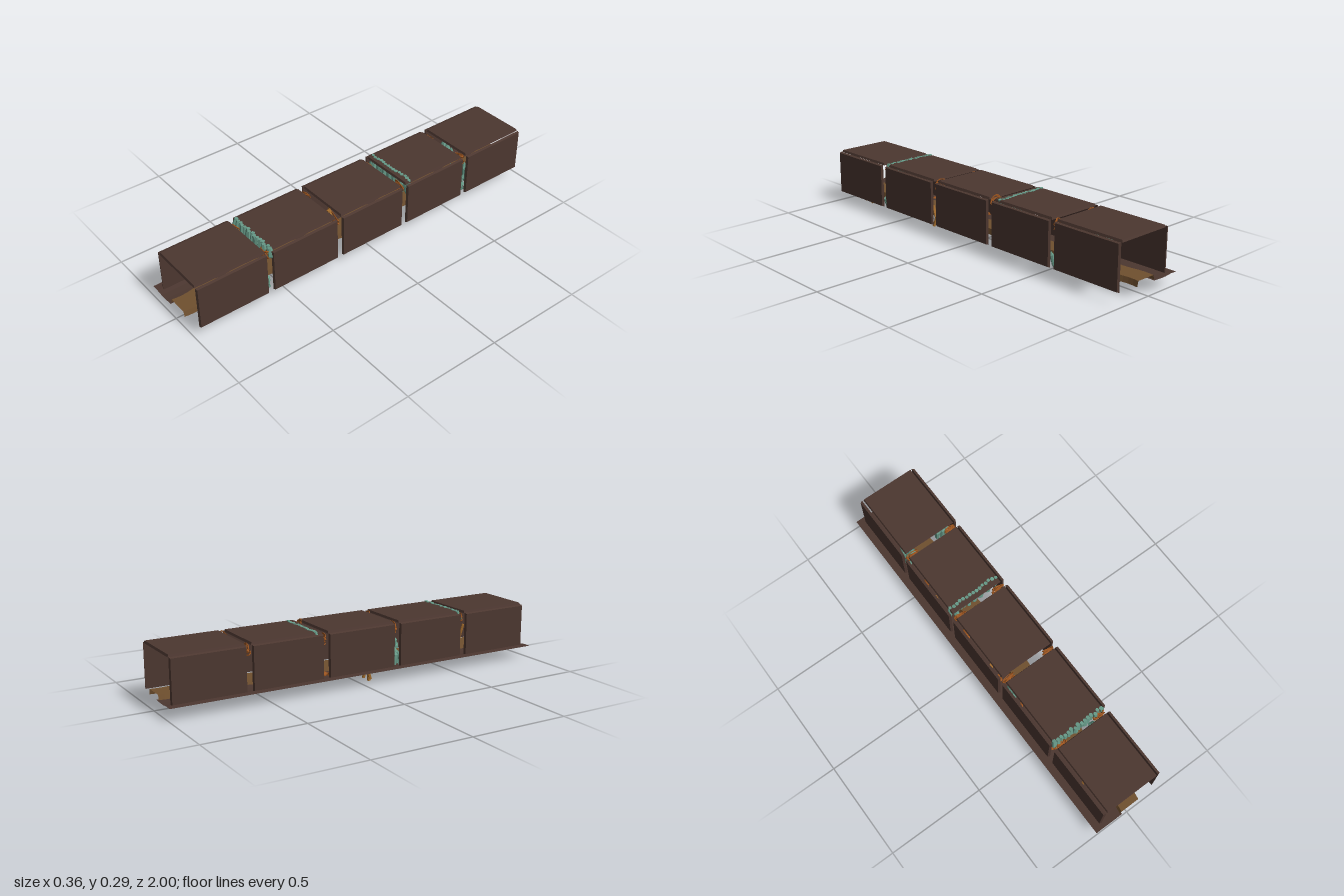
import * as THREE from 'three';

const mat = (name, color, side = THREE.FrontSide) => {
  const m = new THREE.MeshStandardMaterial({ color, side, flatShading: true });
  m.name = name;
  return m;
};

function seeded(seed) {
  return () => {
    seed = (seed * 16807) % 2147483647;
    return seed / 2147483647;
  };
}

// Slab with its +y face slightly inset, giving a bevelled rim
function slab(w, h, d) {
  const g = new THREE.BoxGeometry(w, h, d);
  const p = g.attributes.position;
  for (let i = 0; i < p.count; i++) {
    if (p.getY(i) > 0) p.setXYZ(i, p.getX(i) - Math.sign(p.getX(i)) * 0.004, p.getY(i), p.getZ(i) - Math.sign(p.getZ(i)) * 0.004);
  }
  g.computeVertexNormals();
  return g;
}

// Long sheet swept along z; profile(z) returns [x, y] points ordered from -x to +x
function sheet(profile, length, steps) {
  const pos = [], idx = [];
  let n = 0;
  for (let i = 0; i <= steps; i++) {
    const z = (i / steps - 0.5) * length;
    const row = profile(z);
    n = row.length;
    row.forEach(([x, y]) => pos.push(x, y, z));
  }
  for (let i = 0; i < steps; i++) {
    for (let j = 0; j < n - 1; j++) {
      const a = i * n + j, b = a + n;
      idx.push(a, b, a + 1, a + 1, b, b + 1);
    }
  }
  const g = new THREE.BufferGeometry();
  g.setAttribute('position', new THREE.Float32BufferAttribute(pos, 3));
  g.setIndex(idx);
  const out = g.toNonIndexed();
  out.computeVertexNormals();
  return out;
}

export function createModel() {
  const root = new THREE.Group();
  const rand = seeded(4217);
  const spread = (a) => (rand() * 2 - 1) * a;

  const rock = mat('dark rock', 0x4c3730);
  const ground = mat('ground', 0x4c3730, THREE.DoubleSide);
  const trail = mat('trail earth', 0x70502f, THREE.DoubleSide);
  const crystal = mat('teal crystal', 0x679a88);
  const rope = mat('orange root', 0x9c5520);
  const wood = mat('light wood', 0xa8702f);

  const add = (parent, name, geometry, material, x = 0, y = 0, z = 0) => {
    const m = new THREE.Mesh(geometry, material);
    m.name = name;
    m.position.set(x, y, z);
    parent.add(m);
    return m;
  };
  const group = (name, x = 0, y = 0, z = 0) => {
    const g = new THREE.Group();
    g.name = name;
    g.position.set(x, y, z);
    root.add(g);
    return g;
  };

  // Five tunnel sections, each with two walls and a roof
  const roofGeo = slab(0.287, 0.011, 0.367);
  const wallGeo = slab(0.222, 0.012, 0.367);
  for (let i = 0; i < 5; i++) {
    const section = group('tunnelSection', 0, 0, (i - 2) * 0.396);
    add(section, 'roof', roofGeo, rock, 0.013, 0.278, 0);
    add(section, 'leftWall', wallGeo, rock, 0.169, 0.164, 0).rotation.z = -Math.PI / 2;
    add(section, 'rightWall', wallGeo, rock, -0.144, 0.164, 0).rotation.z = Math.PI / 2;
  }

  // Ground strip along the right wall
  add(root, 'groundStrip', sheet(() => [[-0.188, 0.061], [-0.15, 0.062], [-0.115, 0.058], [-0.08, 0.058], [-0.036, 0.061]], 2, 1), ground);

  // Winding raised trail with sloping sides
  add(root, 'trail', sheet((z) => {
    const s = Math.sin(z * Math.PI * 9) * 0.006;
    return [[-0.046 + s, 0.056], [-0.037 + s, 0.083], [0.063 + s, 0.083], [0.069 + s, 0.056]];
  }, 1.985, 72), trail);

  // One six-sided pointed crystal, base at the origin and pointing up
  const profile = [[0, 0], [0.62, 0], [1, 0.72], [0, 1]];
  const crystalGeo = new THREE.LatheGeometry(profile.map(([r, y]) => new THREE.Vector2(r, y)), 6);
  const addCrystal = (parent, x, y, z, r, h, tiltX, tiltZ) => {
    const c = add(parent, 'crystal', crystalGeo, crystal, x, y, z);
    c.scale.set(r, h, r);
    c.rotation.set(tiltX, rand() * 3, tiltZ);
  };

  // Hanging crystal rows across the ceiling
  for (const [z, drop] of [[0.578, 0.06], [-0.245, 0.1]]) {
    const row = group('ceilingCrystals', 0, 0, z);
    for (let i = 0; i < 15; i++) {
      const t = i / 7 - 1;
      addCrystal(row, 0.013 + t * 0.135, 0.286, spread(0.006), 0.013 + rand() * 0.004,
        drop * (0.9 + rand() * 0.25), Math.PI + spread(0.12), t * 0.15);
    }
  }

  // Standing crystal clusters at the wall bases: x, z, height
  const clusters = [[0.125, 0.6, 0.1], [0.12, 0.34, 0.09], [0.125, -0.6, 0.12], [0.12, -0.76, 0.13],
    [-0.1, 0.22, 0.09], [-0.09, -0.66, 0.14]];
  for (const [x, z, h] of clusters) {
    const cluster = group('crystalCluster', x, 0.055, z);
    const side = Math.sign(x);
    addCrystal(cluster, -side * 0.015, 0, 0, 0.022, h, spread(0.1), spread(0.06));
    for (let i = 0; i < 6; i++) {
      addCrystal(cluster, spread(0.025), 0, spread(0.03), 0.009 + rand() * 0.008, h * (0.4 + rand() * 0.45), spread(0.35), spread(0.3));
    }
    // Small shards leaning out past the wall
    for (let i = 0; i < 3; i++) {
      addCrystal(cluster, side * 0.02, 0.005, spread(0.012), 0.007, 0.05, spread(0.3), -side * (0.5 + rand() * 0.4));
    }
  }
  // Tall crystals climbing the rear walls
  for (const [x, z] of [[-0.07, -0.7], [0.12, -0.68]]) {
    const column = group('tallCrystals', x, 0.06, z);
    for (let i = 0; i < 3; i++) {
      addCrystal(column, (i - 1) * 0.022, 0, spread(0.02), 0.018, x < 0 ? 0.15 - i * 0.015 : 0.12, 0, spread(0.12));
    }
  }

  // Tangled root loops in the upper corners of every gap
  const loopGeo = new THREE.TorusGeometry(1, 0.16, 4, 9);
  const addTangle = (name, x, y, z, size, count, depth) => {
    const tangle = group(name, x, y, z);
    tangle.scale.z = depth;
    for (let i = 0; i < count; i++) {
      const r = size * (0.65 + rand() * 0.3);
      const l = add(tangle, 'rootLoop', loopGeo, rope, spread(size * 0.2), spread(size * 0.45), spread(size * 0.2));
      l.scale.set(r, r * 0.75, r);
      l.rotation.set(1.1 + spread(0.5), spread(0.5), spread(0.8));
    }
  };
  for (const z of [-0.594, -0.198, 0.198, 0.594]) {
    addTangle('cornerRoots', -0.1, 0.245, z, 0.034, 8, 0.45);
    addTangle('cornerRoots', 0.128, 0.253, z, 0.034, 8, 0.45);
  }

  // Flat root clumps scattered on the floor
  for (const z of [0.55, 0.3, 0.12, -0.16, -0.5]) {
    const clump = group('rootClump', -0.1 + spread(0.012), 0.056, z);
    for (let i = 0; i < 5; i++) {
      const b = add(clump, 'rootChunk', new THREE.DodecahedronGeometry(0.016), rope, spread(0.02), spread(0.01), spread(0.02));
      b.scale.set(1.2, 0.55, 0.8);
      b.rotation.set(spread(0.5), spread(1.5), spread(0.7));
    }
  }
  addTangle('floorRoots', 0.125, 0.055, -0.2, 0.018, 4, 1);

  // Loose wooden sticks leaning near the walls: x, y, z, count, length
  const stickGeo = new THREE.BoxGeometry(0.011, 1, 0.011);
  for (const [x, y, z, n, len] of [[0.125, 0.093, 0.76, 5, 0.11], [0.12, 0.085, 0.24, 4, 0.1],
    [-0.11, 0.085, 0.78, 2, 0.09], [-0.105, 0.05, 0.05, 3, 0.09], [-0.11, 0.075, -0.38, 2, 0.07]]) {
    const pile = group('stickPile', x, y, z);
    for (let i = 0; i < n; i++) {
      const s = add(pile, 'stick', stickGeo, wood, (i - (n - 1) / 2) * 0.013, spread(0.005), spread(0.03));
      s.scale.y = len * (0.85 + rand() * 0.25);
      s.rotation.set(spread(0.35), spread(0.5), spread(0.22));
    }
  }

  return root;
}
